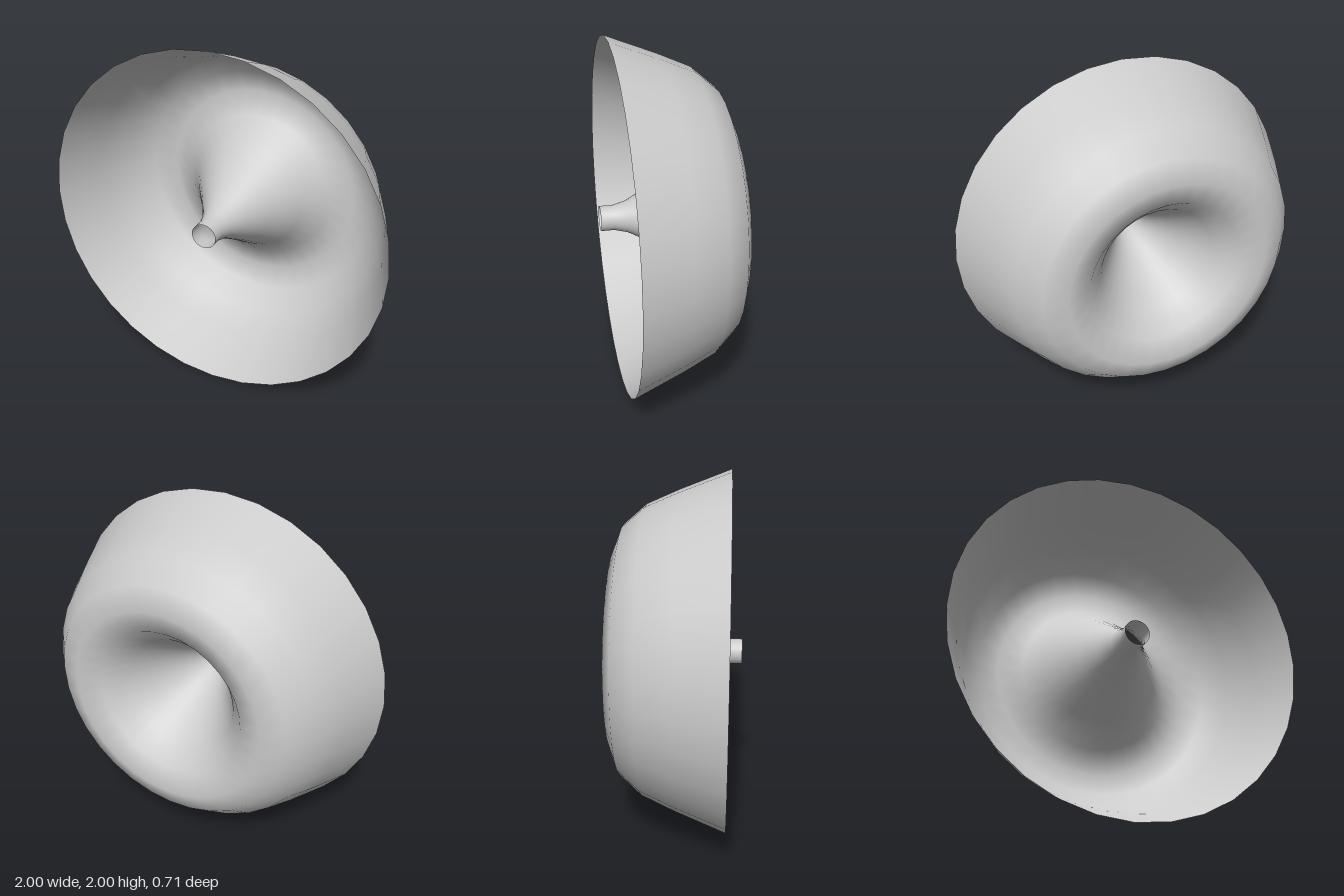
import * as THREE from 'three';

// Profile of the folded shell as [radius, forward position], rim to neck
const PROFILE = [
  [1.0, 0.28], [0.89, 0.0], [0.81, -0.18], [0.7, -0.305], // outer bowl
  [0.575, -0.355], [0.44, -0.305],                        // rounded back lip
  [0.33, -0.18], [0.21, 0.0], [0.135, 0.12],              // inner cone
  [0.09, 0.205], [0.07, 0.28], [0.07, 0.355],             // open neck
];

export function createModel() {
  const group = new THREE.Group();
  group.name = 'flaredBell';

  const material = new THREE.MeshStandardMaterial({ color: 0xcccccc, side: THREE.DoubleSide });

  // One thin turned surface, open at the rim and through the neck.
  // Run from neck to rim so the faces point out of the back.
  const points = PROFILE.map(([r, z]) => new THREE.Vector2(r, z)).reverse();
  const geometry = new THREE.LatheGeometry(points, 32);
  geometry.rotateX(Math.PI / 2); // turn axis faces the front

  const shell = new THREE.Mesh(geometry, material);
  shell.name = 'bellShell';
  shell.position.y = 1;
  group.add(shell);

  return group;
}
